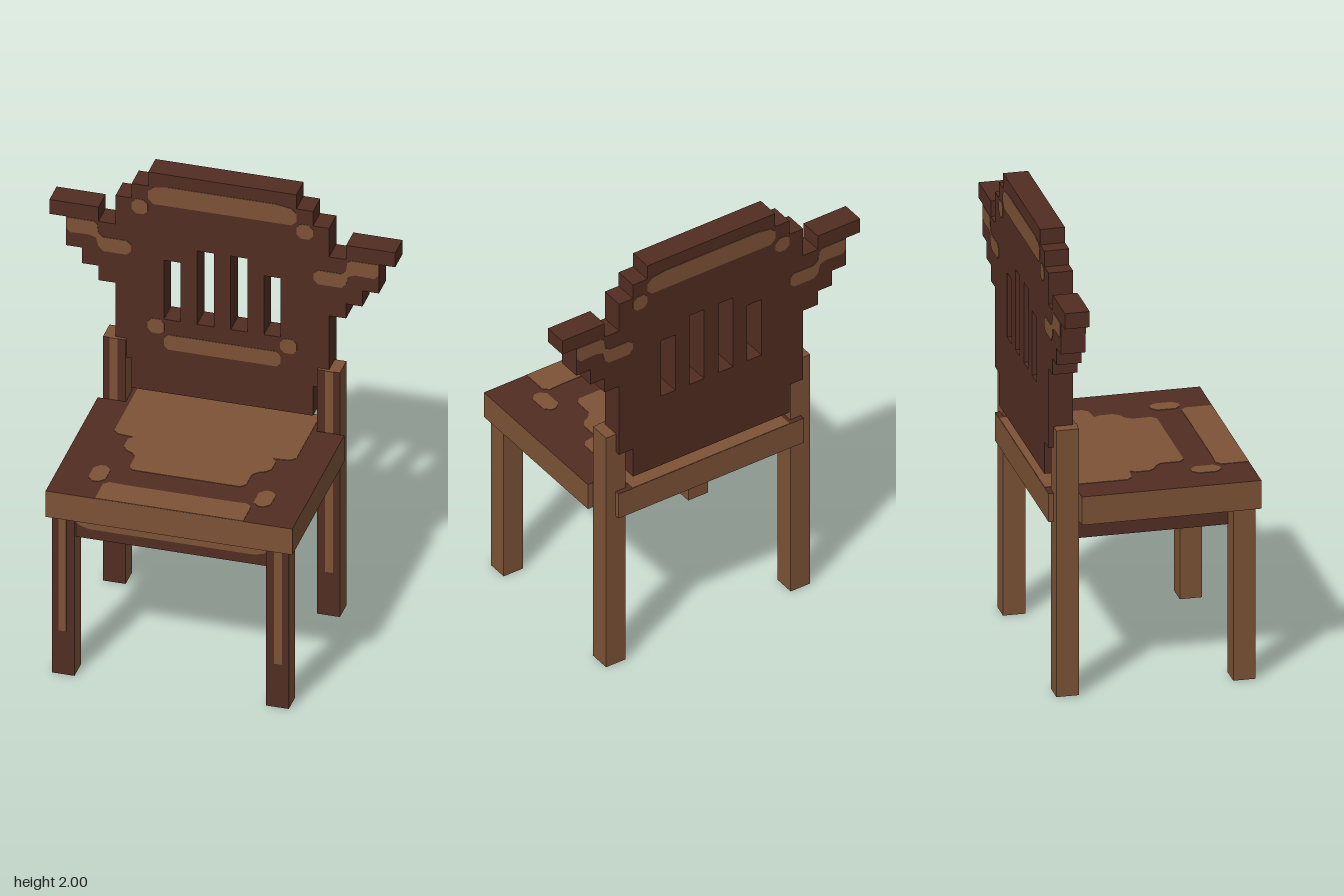
import * as THREE from 'three';

const dark = new THREE.MeshStandardMaterial({ color: 0x522d22 });
dark.name = 'dark wood';
const light = new THREE.MeshStandardMaterial({ color: 0x7c5236 });
light.name = 'light wood';

export function createModel() {
  const model = new THREE.Group();

  const add = (name, geometry, material, parent = model) => {
    const mesh = new THREE.Mesh(geometry, material);
    mesh.name = name;
    parent.add(mesh);
    return mesh;
  };

  // Box given by its limits on each axis
  const box = (name, [x0, x1], [y0, y1], [z0, z1], material) => {
    const g = new THREE.BoxGeometry(x1 - x0, y1 - y0, z1 - z0);
    g.translate((x0 + x1) / 2, (y0 + y1) / 2, (z0 + z1) / 2);
    return add(name, g, material);
  };

  const shapeOf = pts => new THREE.Shape(pts.map(p => new THREE.Vector2(...p)));
  const mirrored = half => [...half, ...half.map(([x, y]) => [-x, y]).reverse()];
  const plate = pts => new THREE.ExtrudeGeometry(shapeOf(pts), { depth: 0.003, bevelEnabled: false });

  // Rectangle with cut corners
  const cut = (x0, x1, y0, y1, c = 0.018) => [
    [x0 + c, y0], [x1 - c, y0], [x1, y0 + c], [x1, y1 - c],
    [x1 - c, y1], [x0 + c, y1], [x0, y1 - c], [x0, y0 + c],
  ];

  // Light edges, dark top
  const topDark = [light, light, dark, light, light, light];
  // Light sides, dark front
  const frontDark = [light, light, light, light, dark, light];

  // Seat, notched around the rear posts
  box('seat', [-0.528, 0.528], [0.76, 0.885], [-0.318, 0.442], topDark);
  box('seatRear', [-0.408, 0.408], [0.76, 0.885], [-0.43, -0.318], topDark);
  box('rearRail', [-0.46, 0.46], [0.76, 0.885], [-0.442, -0.42], topDark);

  // Light pattern on the seat; plan points are (x, -z)
  const seatPlate = (name, pts) => {
    const g = plate(pts);
    g.rotateX(-Math.PI / 2);
    g.translate(0, 0.884, 0);
    add(name, g, light);
  };
  seatPlate('seatPatch', mirrored([
    [0.23, -0.187], [0.25, -0.165], [0.25, -0.085], [0.27, -0.06], [0.3, -0.045],
    [0.317, -0.02], [0.317, 0.04], [0.3, 0.06], [0.37, 0.068], [0.39, 0.09], [0.39, 0.441],
  ]));
  seatPlate('seatFrontPatch', mirrored([[0.317, -0.441], [0.317, -0.325], [0.295, -0.305], [0.23, -0.308]]));

  // Apron under the seat
  box('frontApron', [-0.42, 0.42], [0.66, 0.76], [0.33, 0.4], dark);
  const apronPatch = plate(mirrored([[0.35, 0.707], [0.39, 0.717], [0.41, 0.73], [0.41, 0.76]]));
  apronPatch.translate(0, 0, 0.399);
  add('apronPatch', apronPatch, light);

  // Legs, posts and side aprons
  for (const s of [-1, 1]) {
    const side = s > 0 ? 'left' : 'right';
    const span = (a, b) => (s > 0 ? [a, b] : [-b, -a]);
    box(side + 'SideApron', span(0.34, 0.42), [0.66, 0.76], [-0.32, 0.34], dark);
    box(side + 'FrontLeg', span(0.41, 0.507), [0, 0.76], [0.328, 0.422], frontDark);
    box(side + 'RearPost', span(0.41, 0.507), [0, 1.18], [-0.42, -0.324], frontDark);
    box(side + 'FrontLegStripe', span(0.445, 0.478), [0.21, 0.76], [0.42, 0.425], light);
    box(side + 'RearPostStripe', span(0.445, 0.478), [0.21, 1.18], [-0.326, -0.321], light);
    seatPlate(side + 'SeatSpot', cut(...span(0.317, 0.39), -0.312, -0.187, 0.024));
  }

  // Stepped backrest with four slots
  const back = shapeOf(mirrored([
    [0.388, 0.945], [0.388, 1.087], [0.457, 1.087], [0.457, 1.44], [0.53, 1.44], [0.53, 1.51],
    [0.6, 1.51], [0.6, 1.585], [0.67, 1.585], [0.67, 1.724], [0.74, 1.724], [0.74, 1.793],
    [0.53, 1.793], [0.53, 1.724], [0.457, 1.724], [0.457, 1.862], [0.388, 1.862],
    [0.388, 1.932], [0.317, 1.932], [0.317, 2],
  ]));
  for (const [x, top] of [[-0.25, 1.585], [-0.108, 1.655], [0.036, 1.655], [0.178, 1.585]]) {
    const w = 0.072;
    back.holes.push(new THREE.Path([[x, 1.3], [x, top], [x + w, top], [x + w, 1.3]]
      .map(p => new THREE.Vector2(...p))));
  }
  const backGeometry = new THREE.ExtrudeGeometry(back, { depth: 0.105, bevelEnabled: false });
  backGeometry.translate(0, 0, -0.442);
  add('backrest', backGeometry, dark);

  // Light pattern on the backrest; the lower part is on the front only
  const backPlate = (name, pts, bothSides) => {
    for (const z of bothSides ? [-0.338, -0.444] : [-0.338]) {
      const g = plate(pts);
      g.translate(0, 0, z);
      add(name, g, light);
    }
  };
  backPlate('crestBand', mirrored([
    [0.23, 1.85], [0.295, 1.85], [0.317, 1.87], [0.317, 1.91], [0.295, 1.93], [0.23, 1.94],
  ]), true);
  backPlate('lowerBand', cut(-0.25, 0.25, 1.157, 1.228), false);
  for (const s of [-1, 1]) {
    const span = (a, b) => (s > 0 ? [a, b] : [-b, -a]);
    backPlate('crestSpot', cut(...span(0.319, 0.388), 1.793, 1.862), true);
    backPlate('lowerSpot', cut(...span(0.248, 0.319), 1.228, 1.297), false);
    backPlate('armPatch', [
      [0.41, 1.585], [0.51, 1.585], [0.53, 1.605], [0.54, 1.645], [0.57, 1.655], [0.65, 1.652],
      [0.668, 1.67], [0.668, 1.722], [0.55, 1.722], [0.535, 1.71], [0.53, 1.67], [0.51, 1.652],
      [0.41, 1.652], [0.39, 1.635], [0.39, 1.605],
    ].map(([x, y]) => [s * x, y]), true);
  }

  return model;
}
